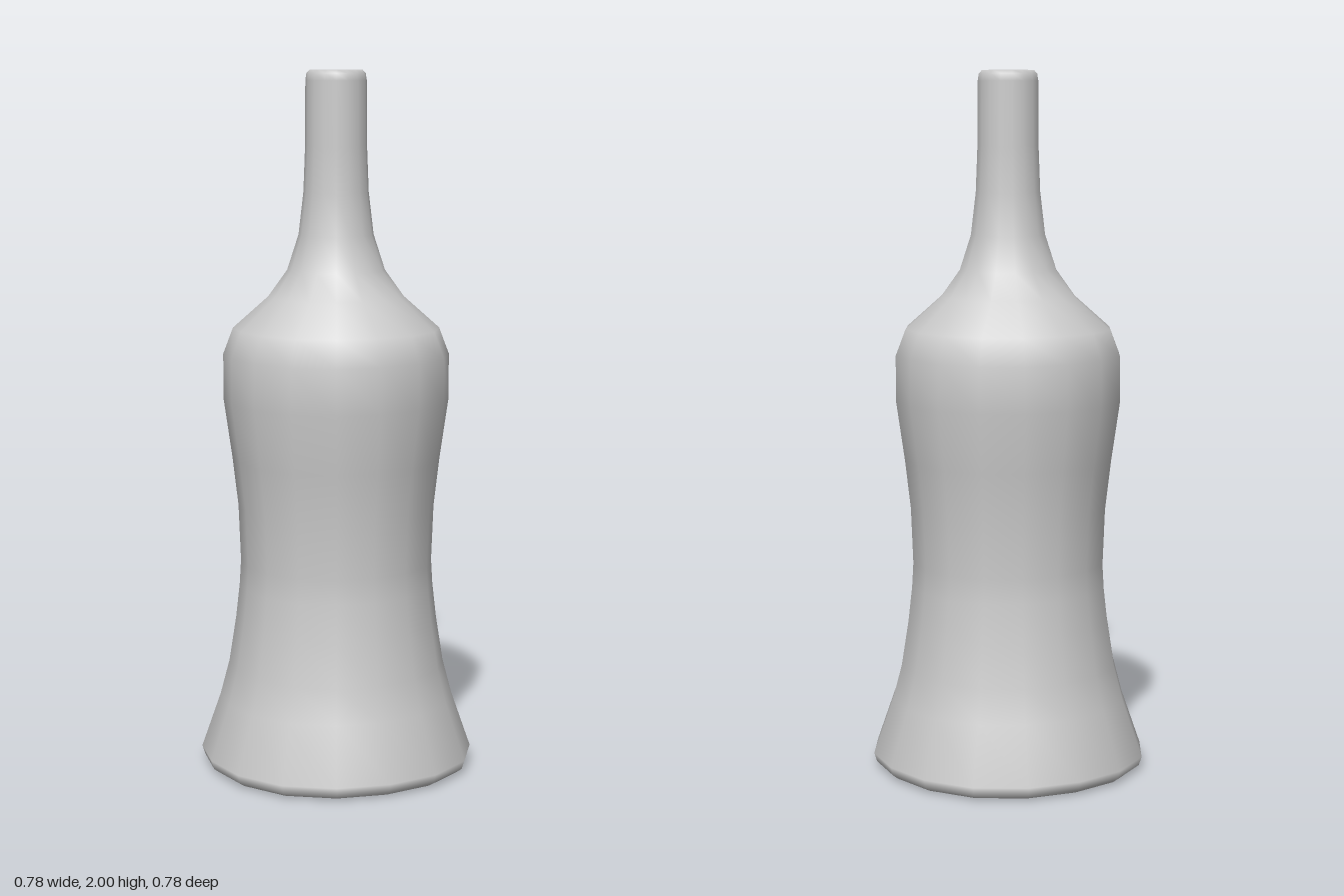
import * as THREE from 'three';

// Half-profile of the bottle: [radius, height], bottom centre to top centre
const PROFILE = [
  [0, 0], [0.34, 0], [0.365, 0.004], [0.38, 0.015], [0.388, 0.04],
  [0.333, 0.2], [0.307, 0.3], [0.287, 0.43], [0.276, 0.53], [0.272, 0.6], [0.278, 0.76],
  [0.294, 0.9], [0.318, 1.07], [0.318, 1.2], [0.29, 1.275],
  [0.19, 1.365], [0.137, 1.44], [0.105, 1.54], [0.091, 1.66], [0.086, 1.79],
  [0.085, 1.97], [0.082, 1.99], [0.073, 2], [0, 2],
];

export function createModel() {
  const group = new THREE.Group();
  group.name = 'bottle';

  // Sixteen-sided smooth body with closed base and top
  const geometry = new THREE.LatheGeometry(PROFILE.map(([r, y]) => new THREE.Vector2(r, y)), 16);

  // Slightly squared cross-section: the diagonals bulge by 2.5 %
  const pos = geometry.attributes.position;
  for (let i = 0; i < pos.count; i++) {
    const x = pos.getX(i), z = pos.getZ(i);
    const k = 1 + 0.0125 * (1 - Math.cos(4 * Math.atan2(z, x)));
    pos.setX(i, x * k);
    pos.setZ(i, z * k);
  }

  const body = new THREE.Mesh(geometry, new THREE.MeshStandardMaterial({ color: 0xcccccc }));
  body.name = 'bottleBody';
  group.add(body);
  return group;
}
